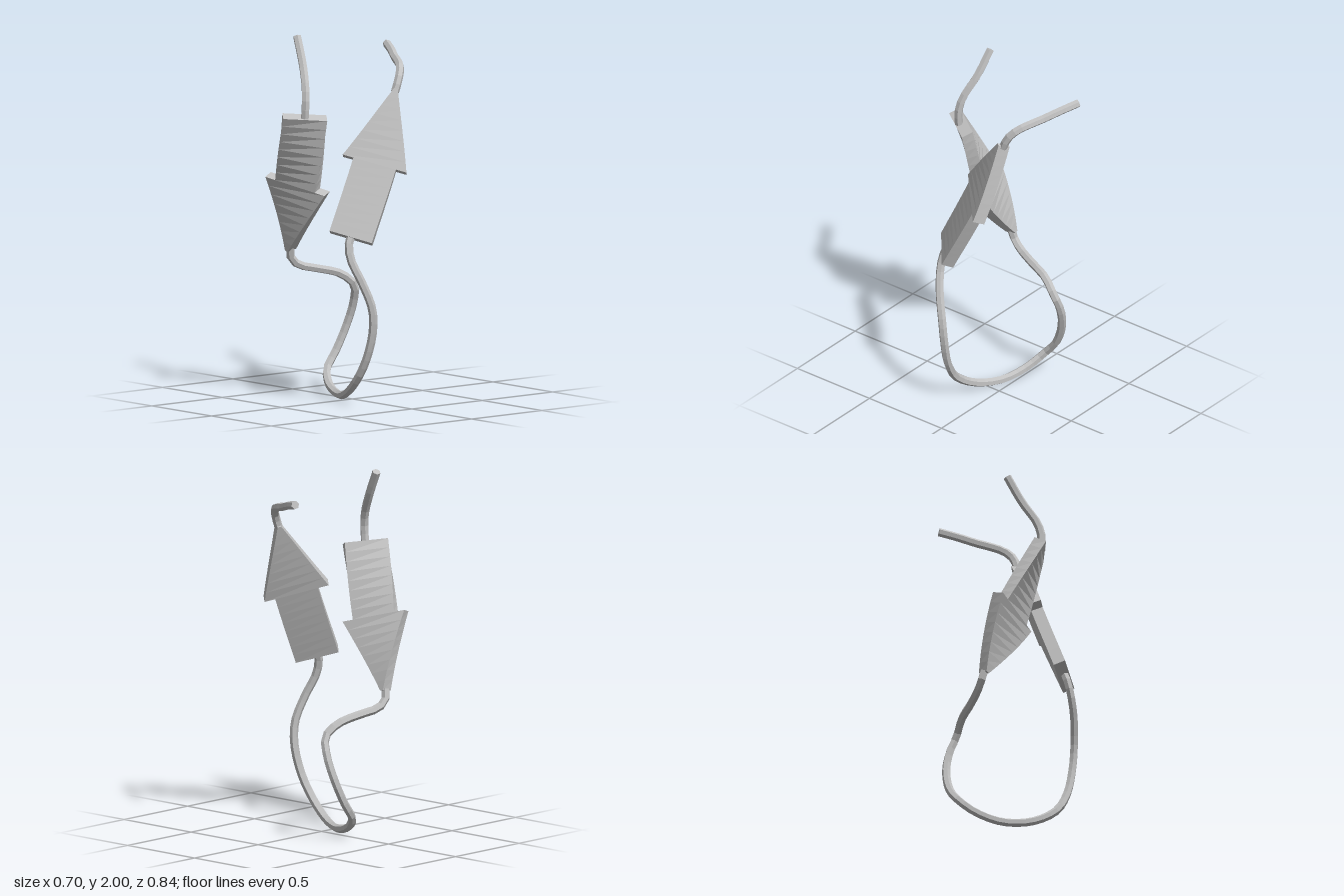
import * as THREE from 'three';

const V = (p) => new THREE.Vector3(...p);

// Solid skin over cross-section rings (counter-clockwise along the path), flat faces, closed ends
function loft(rings) {
  const n = rings[0].length, pos = [];
  const tri = (a, b, c) => pos.push(...a.toArray(), ...b.toArray(), ...c.toArray());
  for (let k = 0; k < rings.length - 1; k++) {
    const a = rings[k], b = rings[k + 1];
    for (let i = 0; i < n; i++) {
      const j = (i + 1) % n;
      tri(a[i], a[j], b[j]);
      tri(a[i], b[j], b[i]);
    }
  }
  const first = rings[0], last = rings[rings.length - 1];
  for (let i = 1; i < n - 1; i++) {
    tri(first[0], first[i + 1], first[i]);
    tri(last[0], last[i], last[i + 1]);
  }
  const g = new THREE.BufferGeometry();
  g.setAttribute('position', new THREE.Float32BufferAttribute(pos, 3));
  g.computeVertexNormals();
  return g;
}

// Six-sided cord through a list of points
function cordGeometry(points, segments) {
  const curve = new THREE.CatmullRomCurve3(points.map(V));
  const { normals, binormals } = curve.computeFrenetFrames(segments, false);
  const radius = 0.023, sides = 6, rings = [];
  for (let k = 0; k <= segments; k++) {
    const c = curve.getPointAt(k / segments);
    rings.push(Array.from({ length: sides }, (_, i) => {
      const a = (i / sides) * Math.PI * 2;
      return c.clone()
        .addScaledVector(normals[k], radius * Math.cos(a))
        .addScaledVector(binormals[k], radius * Math.sin(a));
    }));
  }
  return loft(rings);
}

// Twisted flat arrow: centres and width directions at the tail, head base and tip
function arrowGeometry(centres, widths) {
  const curve = new THREE.CatmullRomCurve3(centres.map(V));
  const dirs = widths.map((w) => V(w).normalize());
  const thickness = 0.066, bodyWidth = 0.24, headWidth = 0.36, tipWidth = 0.02, steps = 8;
  const ring = (t, width) => {
    const c = curve.getPoint(t), T = curve.getTangent(t);
    const k = t < 0.5 ? 0 : 1;
    const W = dirs[k].clone().lerp(dirs[k + 1], t * 2 - k);
    W.addScaledVector(T, -W.dot(T)).normalize();
    const N = T.clone().cross(W);
    return [[1, 1], [-1, 1], [-1, -1], [1, -1]].map(([u, v]) => c.clone()
      .addScaledVector(W, u * width / 2)
      .addScaledVector(N, v * thickness / 2));
  };
  const rings = [];
  for (let i = 0; i <= steps; i++) rings.push(ring(0.5 * i / steps, bodyWidth));
  for (let i = 0; i <= steps; i++) {
    const s = i / steps;
    rings.push(ring(0.5 + 0.5 * s, THREE.MathUtils.lerp(headWidth, tipWidth, s)));
  }
  return loft(rings);
}

export function createModel() {
  const group = new THREE.Group();
  const grey = new THREE.MeshStandardMaterial({ color: 0xc0c0c0 });
  grey.name = 'lightGrey';
  const add = (name, geometry) => {
    const mesh = new THREE.Mesh(geometry, grey);
    mesh.name = name;
    group.add(mesh);
  };

  // Two ribbon arrows, one pointing down and one pointing up
  add('downArrow', arrowGeometry(
    [[-0.043, 1.567, 0.3], [-0.178, 1.18, 0.237], [-0.318, 0.8, 0.168]],
    [[0.131, -0.025, -0.198], [0.315, -0.1, -0.16], [0.95, -0.34, -0.1]]));
  add('upArrow', arrowGeometry(
    [[0.214, 0.922, 0.19], [0.194, 1.305, 0.005], [0.167, 1.7, -0.165]],
    [[0.18, -0.06, -0.15], [0.25, -0.09, -0.235], [0.2, -0.08, -0.25]]));

  // Free cords above the arrows
  add('rightEndCord', cordGeometry([
    [-0.2, 1.985, 0.222], [-0.12, 1.845, 0.25], [-0.05, 1.73, 0.29],
    [-0.03, 1.65, 0.305], [-0.035, 1.56, 0.307]], 10));
  add('leftEndCord', cordGeometry([
    [0.167, 1.685, -0.162], [0.163, 1.75, -0.19], [0.13, 1.8, -0.23], [0.07, 1.825, -0.27],
    [0, 1.84, -0.305], [-0.09, 1.868, -0.355], [-0.185, 1.89, -0.402]], 12));

  // Long loop joining the tip of one arrow to the tail of the other
  add('loopCord', cordGeometry([
    [-0.318, 0.81, 0.17], [-0.328, 0.75, 0.155], [-0.318, 0.712, 0.11], [-0.28, 0.685, 0],
    [-0.245, 0.65, -0.125], [-0.22, 0.585, -0.2], [-0.25, 0.49, -0.222], [-0.288, 0.36, -0.205],
    [-0.31, 0.217, -0.145], [-0.3, 0.13, -0.075], [-0.22, 0.06, -0.02], [-0.085, 0.025, 0.035],
    [0.06, 0.045, 0.1], [0.195, 0.13, 0.14], [0.275, 0.255, 0.135], [0.32, 0.415, 0.125],
    [0.325, 0.545, 0.135], [0.29, 0.69, 0.18], [0.245, 0.8, 0.213], [0.222, 0.88, 0.213],
    [0.214, 0.94, 0.19]], 48));

  return group;
}
